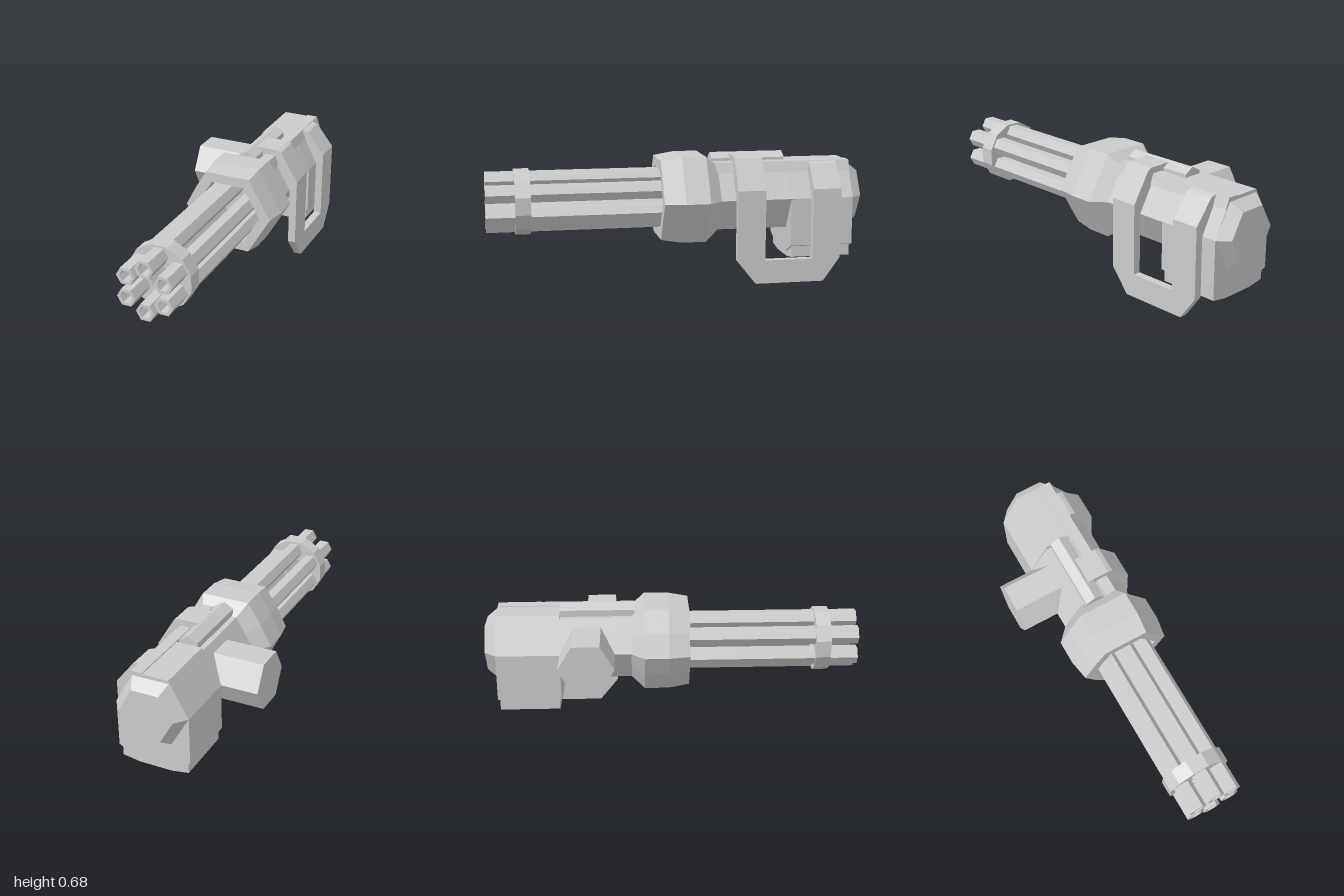
import * as THREE from 'three';

const CX = 0.065, CY = 0.443; // barrel axis

export function createModel() {
  const model = new THREE.Group();
  const material = new THREE.MeshStandardMaterial({ color: 0xcccccc, flatShading: true });

  const add = (name, geometry) => {
    const mesh = new THREE.Mesh(geometry, material);
    mesh.name = name;
    model.add(mesh);
    return mesh;
  };
  const polygon = (n, r, x = CX, y = CY, turn = 0) =>
    Array.from({ length: n }, (_, i) => {
      const a = turn + (i / n) * Math.PI * 2;
      return new THREE.Vector2(x + r * Math.cos(a), y + r * Math.sin(a));
    });
  const points = (list) => list.map(([x, y]) => new THREE.Vector2(x, y));

  // Extrude an xy outline from z0 to z1
  const prism = (outline, z0, z1, hole) => {
    const shape = new THREE.Shape(outline);
    if (hole) shape.holes.push(new THREE.Path(hole));
    return new THREE.ExtrudeGeometry(shape, { depth: z1 - z0, bevelEnabled: false }).translate(0, 0, z0);
  };

  // Skin a series of [radius, z] rings around the barrel axis
  const loft = (unit, rings) => {
    const pos = [];
    const n = unit.length;
    const at = ([r, z], j) => [CX + unit[j % n].x * r, CY + unit[j % n].y * r, z];
    for (let i = 0; i < rings.length - 1; i++) {
      for (let j = 0; j < n; j++) {
        const a = at(rings[i], j), b = at(rings[i], j + 1);
        const c = at(rings[i + 1], j), d = at(rings[i + 1], j + 1);
        if (rings[i][0] > 0) pos.push(...a, ...c, ...b);
        if (rings[i + 1][0] > 0) pos.push(...b, ...c, ...d);
      }
    }
    const g = new THREE.BufferGeometry();
    g.setAttribute('position', new THREE.Float32BufferAttribute(pos, 3));
    g.computeVertexNormals();
    return g;
  };

  // Six hollow hexagonal barrels
  for (let i = 0; i < 6; i++) {
    const a = Math.PI / 6 + (i * Math.PI) / 3;
    const x = CX + 0.115 * Math.cos(a), y = CY + 0.115 * Math.sin(a);
    add('barrel', prism(polygon(6, 0.05, x, y), -0.02, 1, polygon(6, 0.033, x, y)));
  }

  // Ring that holds the barrels near the muzzle
  add('barrelRing', prism(polygon(12, 0.174, CX, CY, Math.PI / 12), 0.77, 0.85, polygon(6, 0.067)));

  // Collar with a recess for the barrels, slightly rounded on the -x side
  const hexagon = polygon(6, 1, 0, 0);
  const rounded = [];
  hexagon.forEach((p, i) => {
    rounded.push(p);
    if (i === 2 || i === 3) {
      rounded.push(p.clone().add(hexagon[i + 1]).multiplyScalar(0.5 * 1.03));
    }
  });
  add('collar', loft(rounded, [
    [0, -0.02], [0.183, -0.02], [0.183, 0.09], [0.243, 0.09],
    [0.2625, -0.02], [0.2625, -0.15], [0.196, -0.22], [0, -0.22],
  ]));

  // Receiver and tapered end cap
  add('receiver', prism(polygon(6, 0.196), -0.62, -0.2));
  add('endCap', loft(hexagon, [[0, -0.93], [0.196, -0.93], [0.196, -0.94], [0.145, -1], [0, -1]]));

  // Rear housing with a deeper belly and its bottom plate
  add('rearHousing', prism(points([
    [0.26, 0.19], [0.26, 0.443], [0.16, 0.63], [-0.03, 0.63],
    [-0.133, 0.443], [-0.133, 0.19], [-0.03, 0.14], [0.16, 0.14],
  ]), -0.94, -0.6));
  add('bottomPlate', prism(points([
    [0.247, 0.3], [-0.118, 0.3], [-0.118, 0.125], [-0.025, 0.11], [0.155, 0.11], [0.247, 0.125],
  ]), -0.93, -0.61));

  // Rails along the top
  add('topRail', prism(polygon(6, 0.058, 0.045, 0.618, Math.PI / 2), -0.6, -0.2));
  add('sideRail', prism(points([[0.1, 0.58], [0.19, 0.58], [0.17, 0.635], [0.11, 0.635]]), -0.94, -0.2));

  // Hexagonal side mount pointing to -x
  add('sideMount', new THREE.CylinderGeometry(0.147, 0.147, 0.34, 6)
    .rotateZ(Math.PI / 2).translate(-0.16, CY, -0.455));

  // U-shaped handle plate on the +x side
  const handle = new THREE.Shape(points([
    [0.3, 0.45], [0.3, 0.125], [0.4, 0], [0.77, 0], [0.86, 0.125], [0.86, 0.45],
    [0.71, 0.45], [0.71, 0.125], [0.45, 0.125], [0.45, 0.45],
  ]));
  add('handle', new THREE.ExtrudeGeometry(handle, { depth: 0.042, bevelEnabled: false })
    .rotateY(Math.PI / 2).translate(0.261, 0, 0));

  // Straps folding from the handle arms over the top
  const strap = (x, top) => points([
    [0.303, 0.44], [0.303, 0.5], [0.205, top - 0.01], [0.18, top], [x, top], [x, 0.59], [0.16, 0.59], [0.255, 0.44],
  ]);
  add('frontStrap', prism(strap(0.06, 0.668), -0.45, -0.3));
  add('rearStrap', prism(strap(0.17, 0.632), -0.86, -0.71));

  return model;
}
